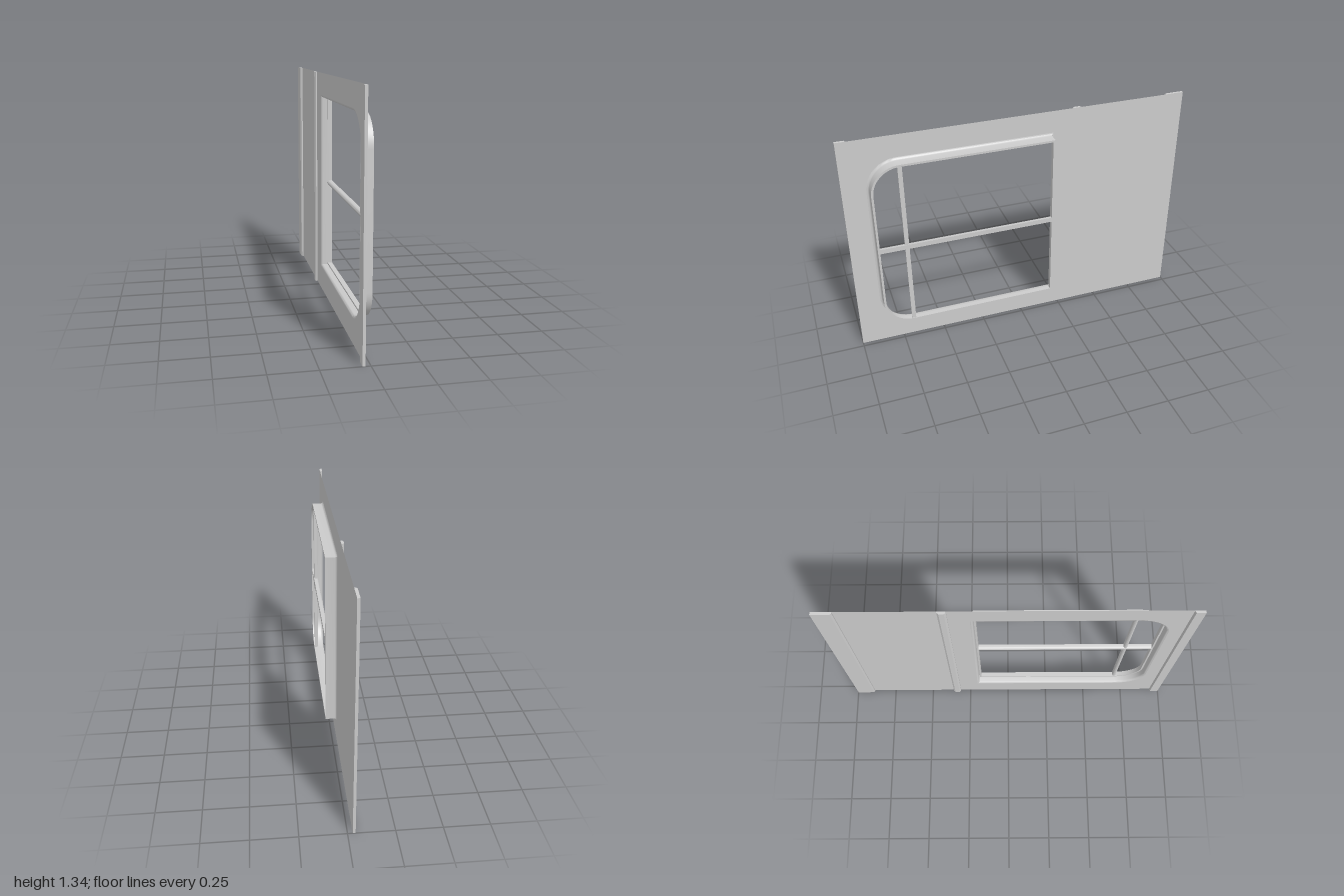
import * as THREE from 'three';
import { toCreasedNormals } from 'three/addons/utils/BufferGeometryUtils.js';

const SKIN_X = -0.027, BACK_X = -0.042, HEIGHT = 1.335;
const WIN = { y0: 0.15, y1: 1.19, z0: -0.185, z1: 0.855, r: 0.165 };

const material = () => new THREE.MeshStandardMaterial({ color: 0xcccccc, side: THREE.DoubleSide });

function addMesh(group, name, geometry) {
  const mesh = new THREE.Mesh(geometry, material());
  mesh.name = name;
  group.add(mesh);
  return mesh;
}

// Window outline in (z, y), grown by d: square rear corners, rounded leading corners
function outline(d) {
  const { y0, y1, z0, z1, r } = WIN, steps = 14, pts = [];
  const arc = (cy, start) => {
    for (let i = 0; i <= steps; i++) {
      const a = start + (i / steps) * Math.PI / 2;
      pts.push(new THREE.Vector2(z1 - r + Math.cos(a) * (r + d), cy + Math.sin(a) * (r + d)));
    }
  };
  pts.push(new THREE.Vector2(z0 - d, y0 - d));
  arc(y0 + r, -Math.PI / 2);
  arc(y1 - r, 0);
  pts.push(new THREE.Vector2(z0 - d, y1 + d));
  return pts;
}

// Sweep a section of [growth, x] pairs around the window outline
function windowSweep(section) {
  const loops = section.map(([d]) => outline(d));
  const n = loops[0].length, pos = [], index = [];
  loops.forEach((loop, j) => loop.forEach(p => pos.push(section[j][1], p.y, p.x)));
  for (let j = 0; j < loops.length - 1; j++) {
    for (let i = 0; i < n; i++) {
      const k = (i + 1) % n, a = j * n + i, b = j * n + k, c = a + n, e = b + n;
      index.push(a, c, b, b, c, e);
    }
  }
  const g = new THREE.BufferGeometry();
  g.setAttribute('position', new THREE.Float32BufferAttribute(pos, 3));
  g.setIndex(index);
  return toCreasedNormals(g, 0.7);
}

function extrude(points, depth) {
  const shape = new THREE.Shape(points.map(p => new THREE.Vector2(...p)));
  return toCreasedNormals(new THREE.ExtrudeGeometry(shape, { depth, bevelEnabled: false }), 0.6);
}

// Upright strip from an (x, z) section
function upright(points, height, y = 0) {
  return extrude(points.map(([x, z]) => [x, -z]), height).rotateX(-Math.PI / 2).translate(0, y, 0);
}

// Bar section: flat outside, rounded inside
function barSection(front, back, centre, half) {
  const pts = [[front, centre - half], [front, centre + half]];
  for (let i = 0; i <= 10; i++) {
    const a = Math.PI / 2 + (i / 10) * Math.PI;
    const shoulder = front - 0.008;
    pts.push([shoulder + Math.cos(a) * (shoulder - back), centre + Math.sin(a) * half]);
  }
  return pts;
}

export function createModel() {
  const group = new THREE.Group();
  group.name = 'windowPanel';

  // Thin sheet with the window cut out
  const sheet = new THREE.Shape([[-1, 0], [1, 0], [1, HEIGHT], [-1, HEIGHT]].map(p => new THREE.Vector2(...p)));
  sheet.holes.push(new THREE.Path(outline(0.014).reverse()));
  addMesh(group, 'panelSheet',
    new THREE.ShapeGeometry(sheet).rotateY(-Math.PI / 2).translate(SKIN_X, 0, 0));

  // Flange drawn out of the sheet, with a fillet at its root and a lip turned inwards
  addMesh(group, 'windowFlange', windowSweep([
    [0.014, SKIN_X], [0.007, -0.0255], [0.002, -0.021], [0, -0.014],
    [0, 0.04], [-0.012, 0.04], [-0.012, 0.012], [-0.002, 0.012],
  ]));

  // Glazing bars
  addMesh(group, 'horizontalBar',
    extrude(barSection(0.038, 0.01, 0.67, 0.014), WIN.z1 - WIN.z0 - 0.016).translate(0, 0, WIN.z0 + 0.008));
  addMesh(group, 'verticalBar',
    upright(barSection(0.036, 0.013, 0.69, 0.012), WIN.y1 - WIN.y0 - 0.016, WIN.y0 + 0.008));

  // Stiffening ribs on the inner face, each with chamfered sides
  const ribs = [
    ['rearRib', -1, -0.89, 0, 0.008],
    ['middleRib', -0.362, -0.314, 0.01, 0.01],
    ['leadingRib', 0.945, 1, 0.005, 0],
  ];
  for (const [name, z0, z1, c0, c1] of ribs) {
    addMesh(group, name, upright([
      [SKIN_X, z0], [-0.034, z0], [BACK_X, z0 + c0],
      [BACK_X, z1 - c1], [-0.034, z1], [SKIN_X, z1],
    ], HEIGHT));
  }
  return group;
}
